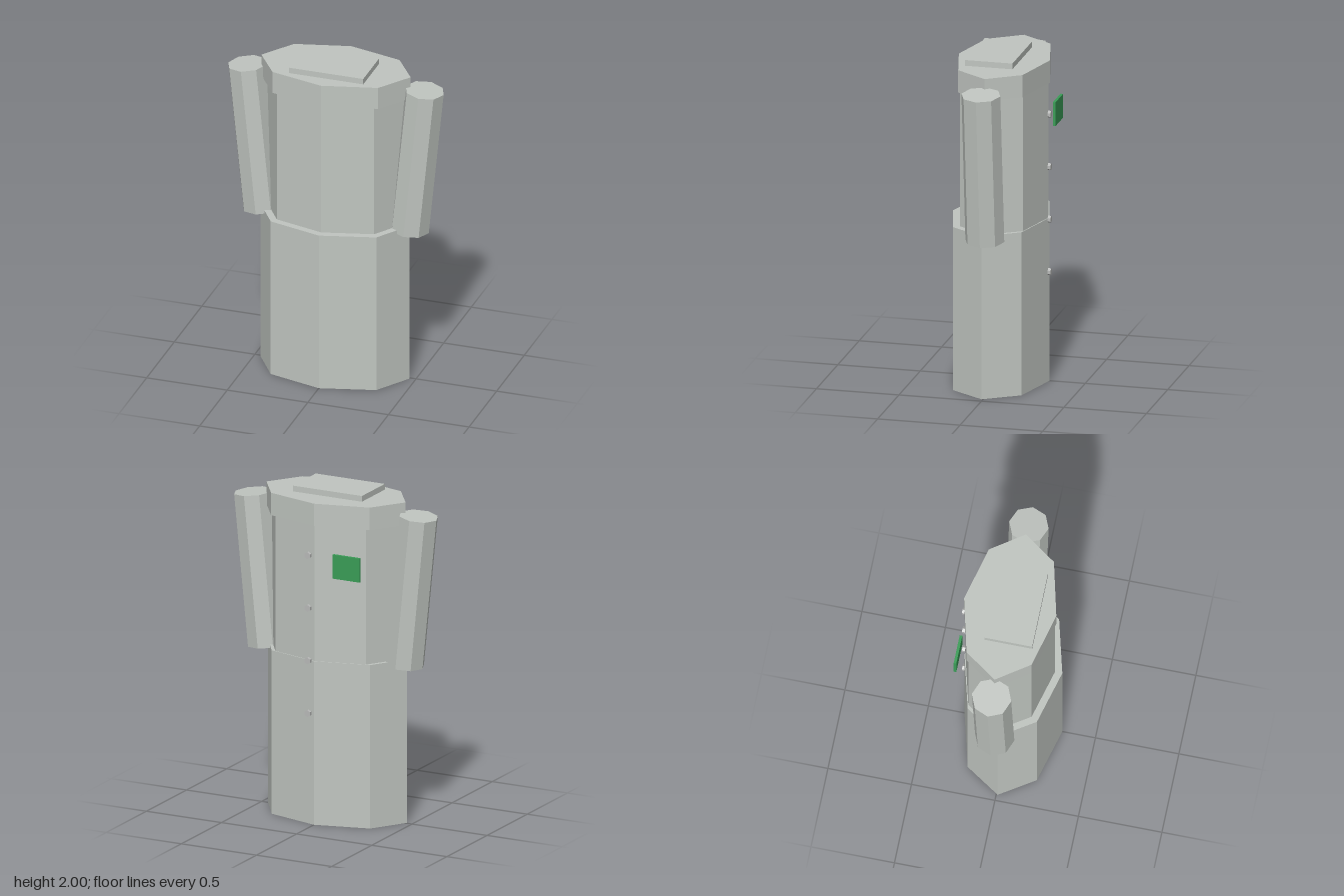
import * as THREE from 'three';

export function createModel() {
  const model = new THREE.Group();
  model.name = 'coat';

  const material = (name, color) => {
    const m = new THREE.MeshStandardMaterial({ color, flatShading: true });
    m.name = name;
    return m;
  };
  const cloth = material('greyCloth', 0xc0c5c0);
  const metal = material('greyButton', 0xb8b9b8);
  const green = material('greenPatch', 0x3a9d57);

  const add = (name, geometry, mat, x, y, z) => {
    const mesh = new THREE.Mesh(geometry, mat);
    mesh.name = name;
    mesh.position.set(x, y, z);
    model.add(mesh);
    return mesh;
  };

  // Flattened eight-sided prism between two heights
  const prism = (name, rx, rz, y0, y1, z) =>
    add(name, new THREE.CylinderGeometry(1, 1, y1 - y0, 8).scale(rx, 1, rz),
      cloth, 0, (y0 + y1) / 2, z);

  // Skirt, torso and shoulder yoke
  prism('skirt', 0.463, 0.293, 0, 1, 0.009);
  prism('torso', 0.427, 0.268, 1, 1.828, -0.01);
  prism('yoke', 0.463, 0.276, 1.828, 1.965, -0.01);

  // Collar slab on top
  add('collar', new THREE.BoxGeometry(0.46, 0.035, 0.286), cloth, 0, 1.9825, 0.025);

  // Sleeves, spreading slightly towards the top
  for (const side of [1, -1]) {
    const sleeve = add(side > 0 ? 'leftSleeve' : 'rightSleeve',
      new THREE.CylinderGeometry(0.118, 0.118, 0.925, 8), cloth, side * 0.504, 1.433, -0.01);
    sleeve.rotation.z = -side * 0.1;
  }

  // Row of buttons down the back
  const buttonGeometry = new THREE.CylinderGeometry(0.021, 0.021, 0.018, 6).rotateX(Math.PI / 2);
  [0.68, 1.002, 1.324, 1.646].forEach((y, i) =>
    add('button' + (i + 1), buttonGeometry, metal, 0.035, y, -0.294));

  // Green patch
  add('patch', new THREE.BoxGeometry(0.178, 0.146, 0.016), green, -0.215, 1.597, -0.279);

  return model;
}
